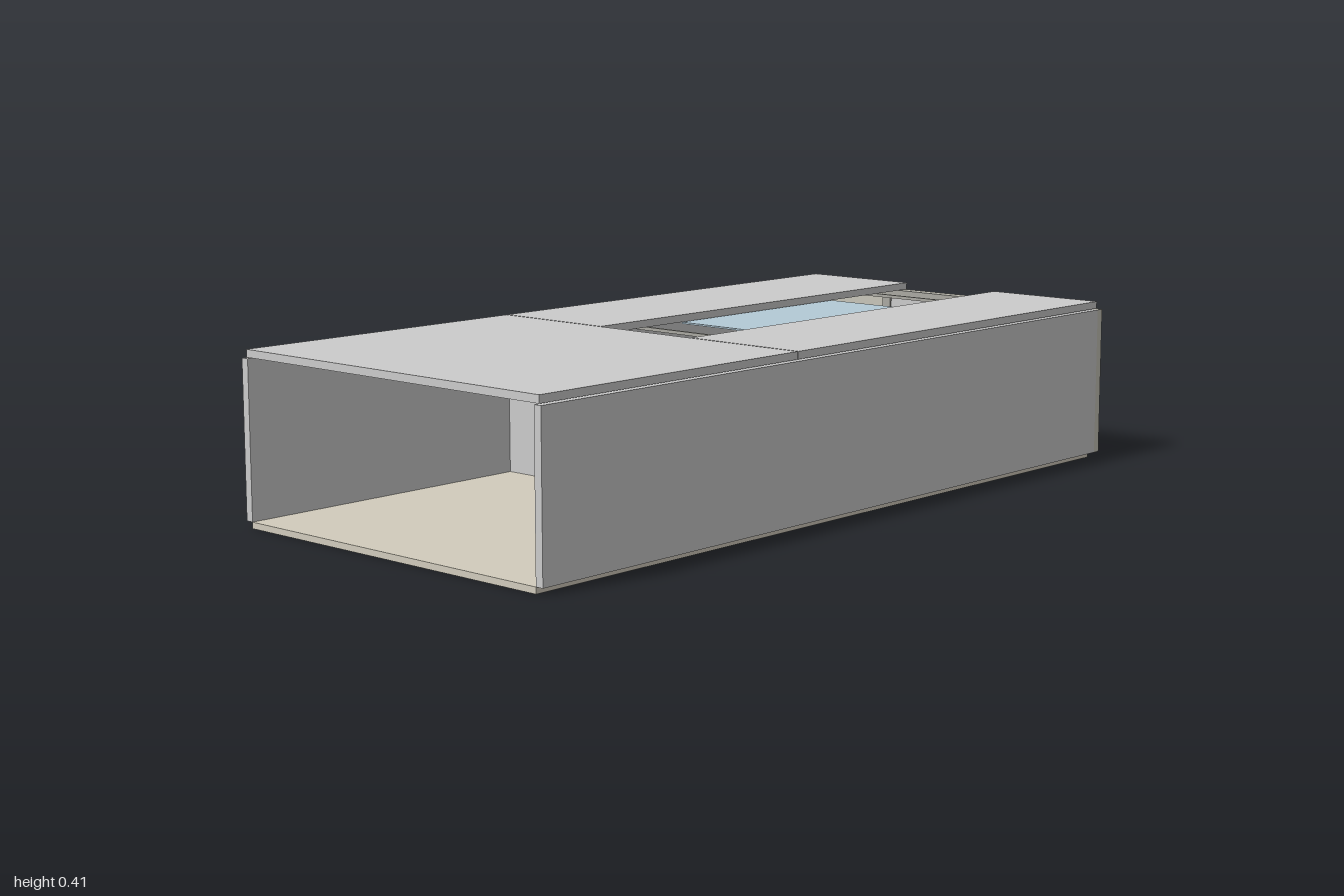
import * as THREE from 'three';

const mat = (color) => new THREE.MeshStandardMaterial({ color });

export function createModel() {
  const model = new THREE.Group();
  const wall = mat(0xcccccc);
  const backTone = mat(0xc8c6ba);
  const floorTone = mat(0xd2ccbd);
  const frameTone = mat(0xaaa9a2);
  const skyTone = mat(0xb4cad6);
  const blue = mat(0x2a5f9e);
  const wood = mat(0x8a6a4c);

  // Box given by its lower and upper corners
  function box(name, x0, x1, y0, y1, z0, z1, material, parent = model) {
    const mesh = new THREE.Mesh(new THREE.BoxGeometry(x1 - x0, y1 - y0, z1 - z0), material);
    mesh.position.set((x0 + x1) / 2, (y0 + y1) / 2, (z0 + z1) / 2);
    mesh.name = name;
    parent.add(mesh);
    return mesh;
  }
  // Same box on both sides of x = 0
  function pair(name, x0, x1, ...rest) {
    box(name + 'Left', x0, x1, ...rest);
    box(name + 'Right', -x1, -x0, ...rest);
  }

  // Shell: floor, outer walls and the roof with its long slot
  box('floor', -0.455, 0.455, 0, 0.015, -0.98, 1, floorTone);
  pair('sideWall', 0.455, 0.475, 0.015, 0.385, -0.98, 1, wall);
  box('backWall', -0.475, 0.475, 0.015, 0.385, -1, -0.98, backTone);
  box('frontRoof', -0.465, 0.465, 0.387, 0.405, 0.202, 0.995, wall);
  pair('rearRoof', 0.145, 0.465, 0.387, 0.405, -0.99, 0.198, wall);

  // Skylight pane resting on thin rafters
  box('skylightPane', -0.14, 0.14, 0.384, 0.388, -0.66, -0.08, skyTone);
  for (let i = 0; i < 4; i++) {
    const z = 0.02 - i * 0.3;
    box('rafter' + (i + 1), -0.455, 0.455, 0.376, 0.384, z - 0.004, z + 0.004, frameTone);
  }

  // Partition with the entrance opening
  pair('partition', 0.21, 0.455, 0.015, 0.385, 0.19, 0.205, wall);
  pair('doorPost', 0.195, 0.215, 0.015, 0.325, 0.185, 0.225, frameTone);
  box('doorHeader', -0.215, 0.215, 0.325, 0.36, 0.185, 0.235, frameTone);
  pair('doorEdgeStrip', 0.187, 0.195, 0.03, 0.315, 0.2, 0.21, wood);
  box('threshold', -0.195, 0.195, 0.015, 0.019, 0.2, 0.23, blue);

  // Rear double window: surrounding frame with two panes
  const rear = new THREE.Group();
  rear.name = 'rearWindow';
  model.add(rear);
  const z0 = -0.98, z1 = -0.968;
  box('bottomRail', -0.21, 0.21, 0.015, 0.045, z0, z1, frameTone, rear);
  box('topRail', -0.21, 0.21, 0.365, 0.385, z0, z1, frameTone, rear);
  box('centreStile', -0.012, 0.012, 0.045, 0.365, z0, z1, frameTone, rear);
  for (const s of [-1, 1]) {
    const a = s < 0 ? -0.21 : 0.185;
    box('sideStile', a, a + 0.025, 0.045, 0.365, z0, z1, frameTone, rear);
    const p = s < 0 ? -0.185 : 0.012;
    box('pane', p, p + 0.173, 0.045, 0.365, z0, z0 + 0.006, wall, rear);
  }

  return model;
}
